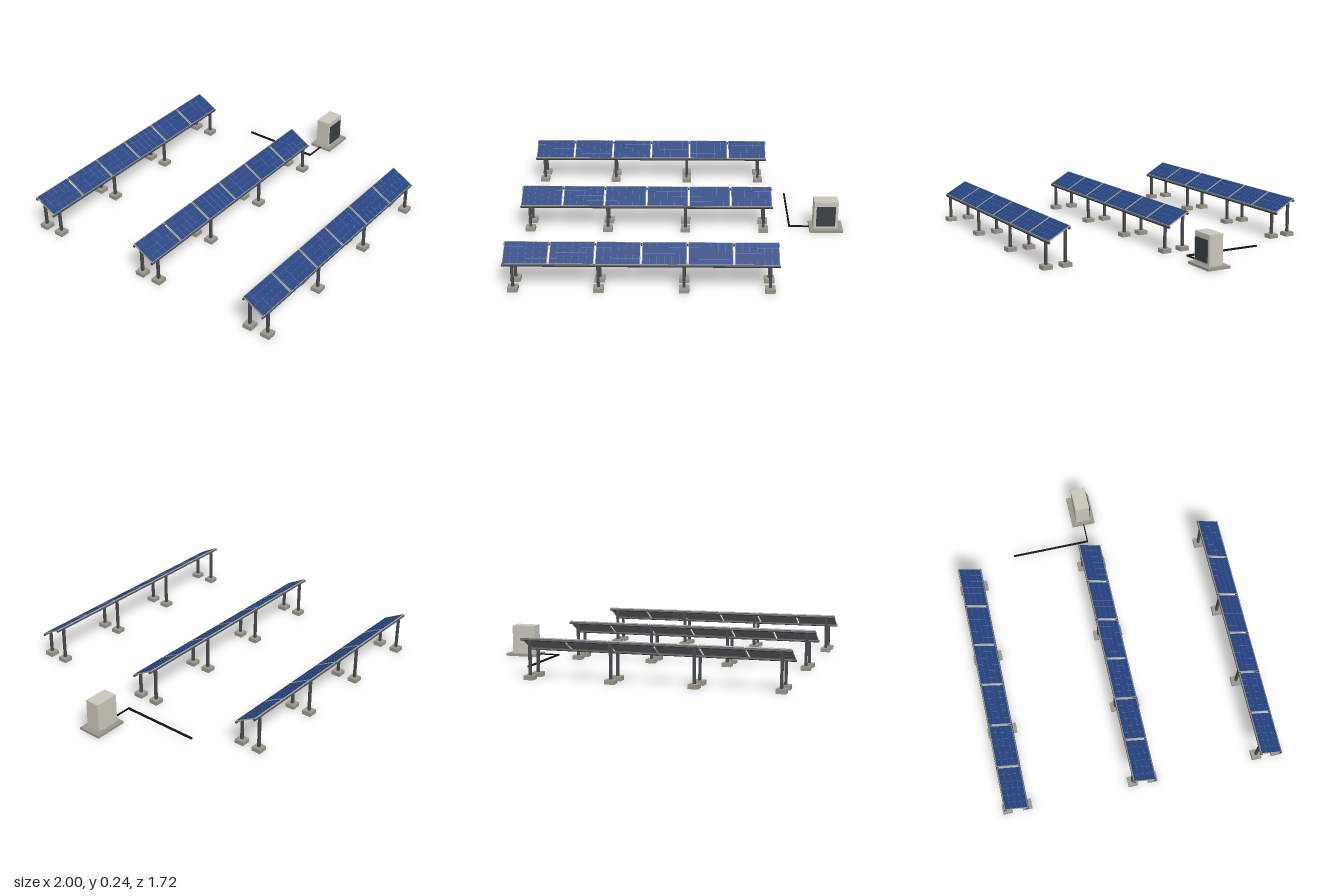
import * as THREE from 'three';

const mat = (color) => new THREE.MeshStandardMaterial({ color });
const concrete = mat(0x9a968a);
const steel = mat(0x484d50);
const frameMetal = mat(0xa5a69c);
const backing = mat(0x6b6f71);
const cellBlue = mat(0x24427f);
const gridLine = mat(0x5c74a4);
const cabinetPaint = mat(0xcac8bb);
const doorDark = mat(0x3a4145);
const cableBlack = mat(0x141414);

const TILT = Math.atan2(0.075, 0.135);
const PANEL_W = 0.251, PANEL_L = 0.152, PITCH = 0.26;

function box(parent, name, material, size, pos) {
  const mesh = new THREE.Mesh(new THREE.BoxGeometry(...size), material);
  mesh.name = name;
  mesh.position.set(...pos);
  parent.add(mesh);
  return mesh;
}

// One framed panel lying flat, with a grid of cells on top
function createPanel() {
  const panel = new THREE.Group();
  panel.name = 'solarPanel';
  const lip = 0.003, t = 0.007;
  box(panel, 'panelBack', backing, [PANEL_W - lip, t - 0.003, PANEL_L - lip], [0, -0.001, 0]);
  box(panel, 'cells', cellBlue, [PANEL_W - 2 * lip, 0.002, PANEL_L - 2 * lip], [0, 0.002, 0]);
  for (const s of [-1, 1]) {
    box(panel, 'frameSide', frameMetal, [lip, t, PANEL_L], [s * (PANEL_W - lip) / 2, 0, 0]);
    box(panel, 'frameEnd', frameMetal, [PANEL_W, t, lip], [0, 0, s * (PANEL_L - lip) / 2]);
  }
  const cols = 6, rows = 4;
  for (let i = 1; i < cols; i++) {
    box(panel, 'cellLine', gridLine, [0.0012, 0.0006, PANEL_L - 2 * lip], [(i / cols - 0.5) * PANEL_W, 0.0031, 0]);
  }
  for (let i = 1; i < rows; i++) {
    box(panel, 'cellLine', gridLine, [PANEL_W - 2 * lip, 0.0006, 0.0012], [0, 0.0031, (i / rows - 0.5) * PANEL_L]);
  }
  return panel;
}

// One row: footings, posts, two long rails and six tilted panels
function createRow() {
  const row = new THREE.Group();
  row.name = 'panelRow';
  const midX = -0.22;
  for (const x of [-0.943, -0.461, 0.021, 0.505]) {
    for (const [z, top] of [[0.06, 0.16], [-0.06, 0.228]]) {
      box(row, 'footing', concrete, [0.058, 0.025, 0.058], [x, 0.0125, z]);
      box(row, 'post', steel, [0.016, top - 0.025, 0.014], [x, (top + 0.025) / 2, z]);
    }
  }
  for (const s of [-1, 1]) {
    const rail = box(row, 'rail', steel, [1.56, 0.011, 0.012], [midX, 0.194 - s * 0.0345, s * 0.063]);
    rail.rotation.x = TILT;
  }
  for (let i = 0; i < 6; i++) {
    const panel = createPanel();
    panel.position.set(midX + (i - 2.5) * PITCH, 0.204, -0.001);
    panel.rotation.x = TILT;
    row.add(panel);
  }
  return row;
}

// Inverter cabinet on its pad
function createCabinet() {
  const cabinet = new THREE.Group();
  cabinet.name = 'inverterCabinet';
  box(cabinet, 'pad', concrete, [0.207, 0.015, 0.147], [0.8965, 0.0075, 0.01]);
  box(cabinet, 'cabinetBody', cabinetPaint, [0.15, 0.18, 0.09], [0.891, 0.105, 0.01]);
  box(cabinet, 'door', doorDark, [0.118, 0.132, 0.008], [0.891, 0.098, 0.058]);
  return cabinet;
}

export function createModel() {
  const model = new THREE.Group();
  model.name = 'solarArray';
  for (const z of [-0.77, 0, 0.77]) {
    const row = createRow();
    row.position.z = z;
    model.add(row);
  }
  model.add(createCabinet());

  // Ground cable from the pad, turning towards the back
  const cable = new THREE.Group();
  cable.name = 'cable';
  box(cable, 'cableAcross', cableBlack, [0.135, 0.008, 0.007], [0.7325, 0.01, 0.01]);
  box(cable, 'cableBack', cableBlack, [0.01, 0.01, 0.49], [0.67, 0.01, -0.233]);
  model.add(cable);
  return model;
}
